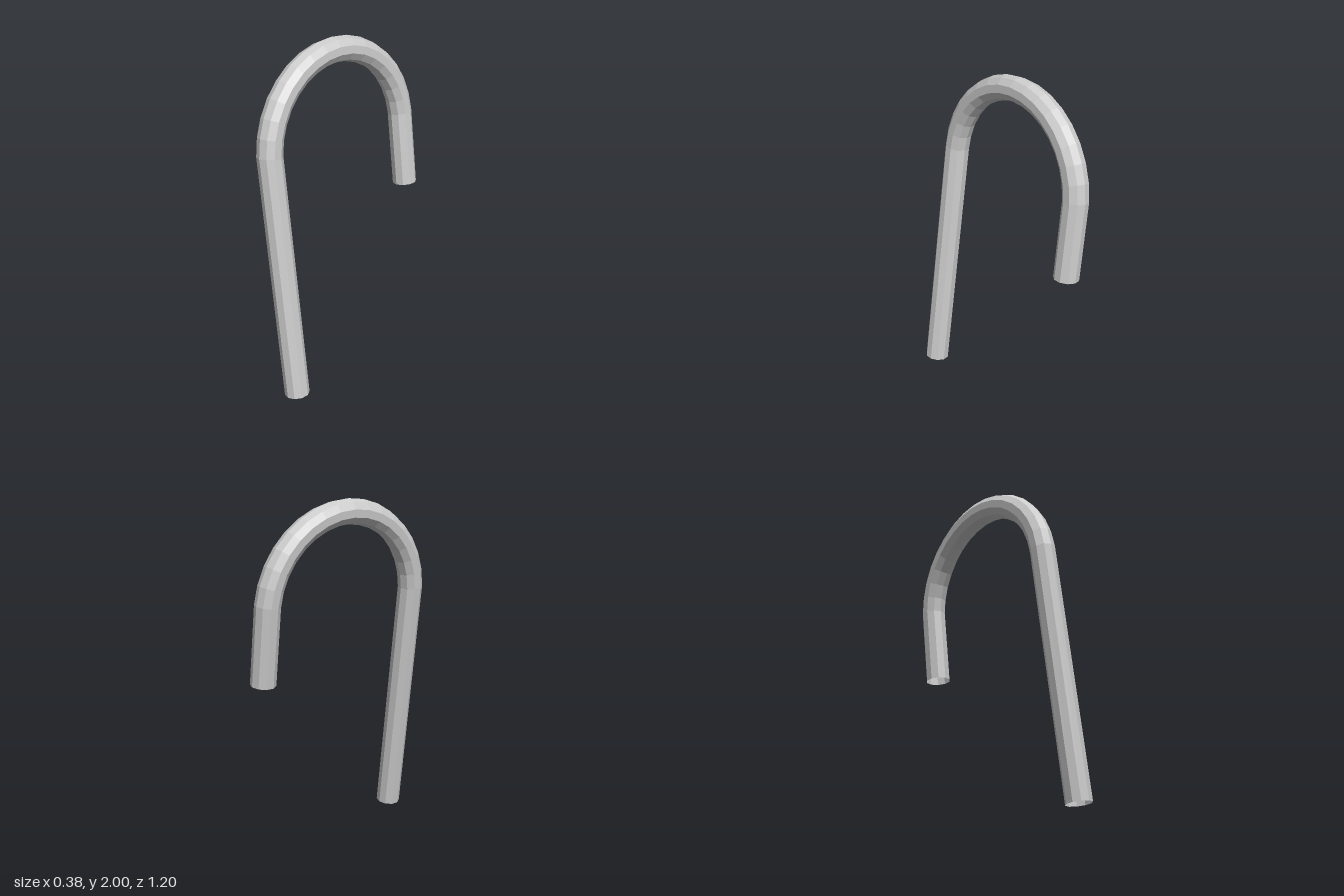
import * as THREE from 'three';

const RADIUS = 0.073;
const SIDES = 10;

// Path with straight legs and evenly stepped bend, sampled exactly at its corners
class PolylinePath extends THREE.Curve {
  constructor(points) {
    super();
    this.points = points;
  }
  index(u) {
    return Math.round(u * (this.points.length - 1));
  }
  getPointAt(u, target = new THREE.Vector3()) {
    return target.copy(this.points[this.index(u)]);
  }
  getTangentAt(u, target = new THREE.Vector3()) {
    const p = this.points, i = this.index(u);
    target.set(0, 0, 0);
    if (i > 0) target.add(p[i].clone().sub(p[i - 1]).normalize());
    if (i < p.length - 1) target.add(p[i + 1].clone().sub(p[i]).normalize());
    return target.normalize();
  }
}

export function createModel() {
  const group = new THREE.Group();
  group.name = 'hookedCane';

  // Long leg, leaning bend, short leg
  const points = [new THREE.Vector3(0.116, 0.01, 0.528)];
  const steps = 16, bend = 0.515, centreY = 1.412, start = 0.075;
  for (let i = 0; i <= steps; i++) {
    const a = start + (Math.PI - 2 * start) * i / steps;
    const y = centreY + bend * Math.sin(a);
    const x = -0.12 + (1.927 - y) * 0.088;
    points.push(new THREE.Vector3(x, y, bend * Math.cos(a) - 0.005));
  }
  points.push(new THREE.Vector3(-0.025, 1.0, -0.522));

  // Open-ended tube
  const geometry = new THREE.TubeGeometry(new PolylinePath(points), points.length - 1, RADIUS, SIDES, false);
  const material = new THREE.MeshStandardMaterial({
    color: 0xcccccc, flatShading: true, side: THREE.DoubleSide,
  });
  const tube = new THREE.Mesh(geometry, material);
  tube.name = 'bentTube';
  group.add(tube);
  return group;
}
